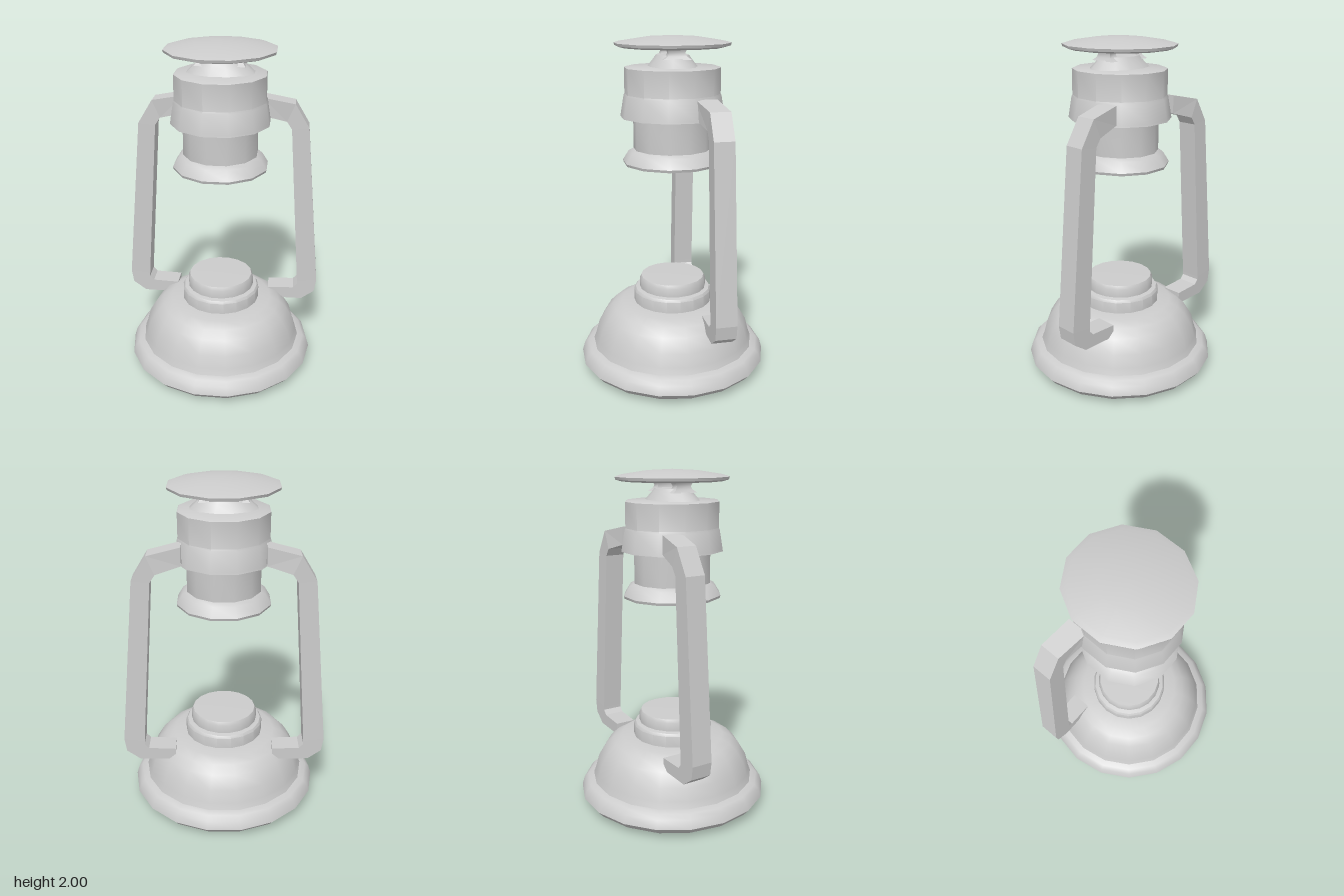
import * as THREE from 'three';
import { toCreasedNormals } from 'three/addons/utils/BufferGeometryUtils.js';

const material = new THREE.MeshStandardMaterial({ color: 0xcccccc });

function addMesh(group, name, geometry) {
  const mesh = new THREE.Mesh(geometry, material);
  mesh.name = name;
  group.add(mesh);
  return mesh;
}

// Round part from a profile of [radius, y] pairs running from bottom to top
function turned(group, name, profile, sides, phase, scaleX = 1) {
  const points = profile.map(([r, y]) => new THREE.Vector2(r, y));
  const geometry = new THREE.LatheGeometry(points, sides, phase);
  geometry.scale(scaleX, 1, 1);
  return addMesh(group, name, toCreasedNormals(geometry, 0.65));
}

// Square bar lofted through [outerX, outerY, innerX, innerY, zBack, zFront]
function bar(sections, side) {
  const rings = sections.map(([ox, oy, ix, iy, zb, zf]) => [
    [ox * side, oy, zb], [ox * side, oy, zf], [ix * side, iy, zf], [ix * side, iy, zb],
  ]);
  const positions = [];
  const quad = (a, b, c, d) => {
    const order = side > 0 ? [a, b, c, a, c, d] : [a, c, b, a, d, c];
    order.forEach((p) => positions.push(...p));
  };
  for (let i = 0; i < rings.length - 1; i++) {
    for (let k = 0; k < 4; k++) {
      const n = (k + 1) % 4;
      quad(rings[i][n], rings[i][k], rings[i + 1][k], rings[i + 1][n]);
    }
  }
  const last = rings[rings.length - 1];
  quad(...rings[0]);
  quad(last[3], last[2], last[1], last[0]);
  const geometry = new THREE.BufferGeometry();
  geometry.setAttribute('position', new THREE.Float32BufferAttribute(positions, 3));
  geometry.computeVertexNormals();
  return geometry;
}

export function createModel() {
  const lantern = new THREE.Group();
  lantern.name = 'lantern';

  // Fuel tank with its rolled foot
  turned(lantern, 'tank', [
    [0, 0.005], [0.49, 0.01], [0.535, 0.04], [0.565, 0.075], [0.55, 0.125], [0.525, 0.15],
    [0.49, 0.16], [0.475, 0.2], [0.455, 0.275], [0.41, 0.35], [0.365, 0.395],
    [0.31, 0.42], [0.2, 0.425],
  ], 18, Math.PI / 2);

  // Burner on top of the tank
  turned(lantern, 'burner', [
    [0.235, 0.41], [0.235, 0.49], [0.225, 0.505], [0.2, 0.51],
    [0.2, 0.56], [0.19, 0.58], [0, 0.585],
  ], 18, Math.PI / 2);

  // Upper parts are twelve-sided and a little narrower across x
  const phase = Math.PI / 12;
  const narrow = 0.955;
  turned(lantern, 'chimney', [
    [0, 1.28], [0.285, 1.28], [0.29, 1.295], [0.255, 1.35], [0.226, 1.365], [0.226, 1.56],
  ], 12, phase, narrow);
  turned(lantern, 'collar', [
    [0.2, 1.55], [0.3, 1.55], [0.298, 1.56], [0.279, 1.67], [0.274, 1.68],
    [0.274, 1.825], [0.265, 1.83], [0, 1.835],
  ], 12, phase, narrow);

  // Vent cone, oval in plan
  const vent = turned(lantern, 'ventCone', [
    [0.2, 1.825], [0.15, 1.87], [0.125, 1.895], [0, 1.9],
  ], 12, phase, 1);
  vent.scale.z = 0.72;

  // Two flared posts carrying the hood
  for (const side of [-1, 1]) {
    const post = new THREE.BoxGeometry(0.06, 0.07, 0.12, 1, 4, 1);
    const p = post.attributes.position;
    for (let i = 0; i < p.count; i++) {
      const t = p.getY(i) / 0.035;
      const flare = 0.75 + 0.55 * t * t;
      p.setXYZ(i, p.getX(i) * flare, p.getY(i), p.getZ(i) * flare);
    }
    post.computeVertexNormals();
    addMesh(lantern, 'hoodPost', post).position.set(0.1 * side, 1.91, 0);
  }

  // Shallow domed hood
  turned(lantern, 'hood', [
    [0, 1.935], [0.29, 1.935], [0.325, 1.945], [0.33, 1.96], [0.3, 1.969],
    [0.15, 1.992], [0, 2],
  ], 12, phase, narrow);

  // Side arms, set towards the back, joining tank and collar
  const arm = [
    [0.29, 0.35, 0.29, 0.422, -0.235, -0.115],
    [0.505, 0.352, 0.45, 0.428, -0.235, -0.115],
    [0.583, 0.41, 0.475, 0.455, -0.235, -0.115],
    [0.595, 0.49, 0.474, 0.475, -0.235, -0.115],
    [0.5, 1.49, 0.4, 1.48, -0.225, -0.11],
    [0.415, 1.63, 0.37, 1.525, -0.225, -0.11],
    [0.23, 1.67, 0.23, 1.565, -0.2, -0.08],
  ];
  addMesh(lantern, 'leftArm', bar(arm, 1));
  addMesh(lantern, 'rightArm', bar(arm, -1));

  return lantern;
}
